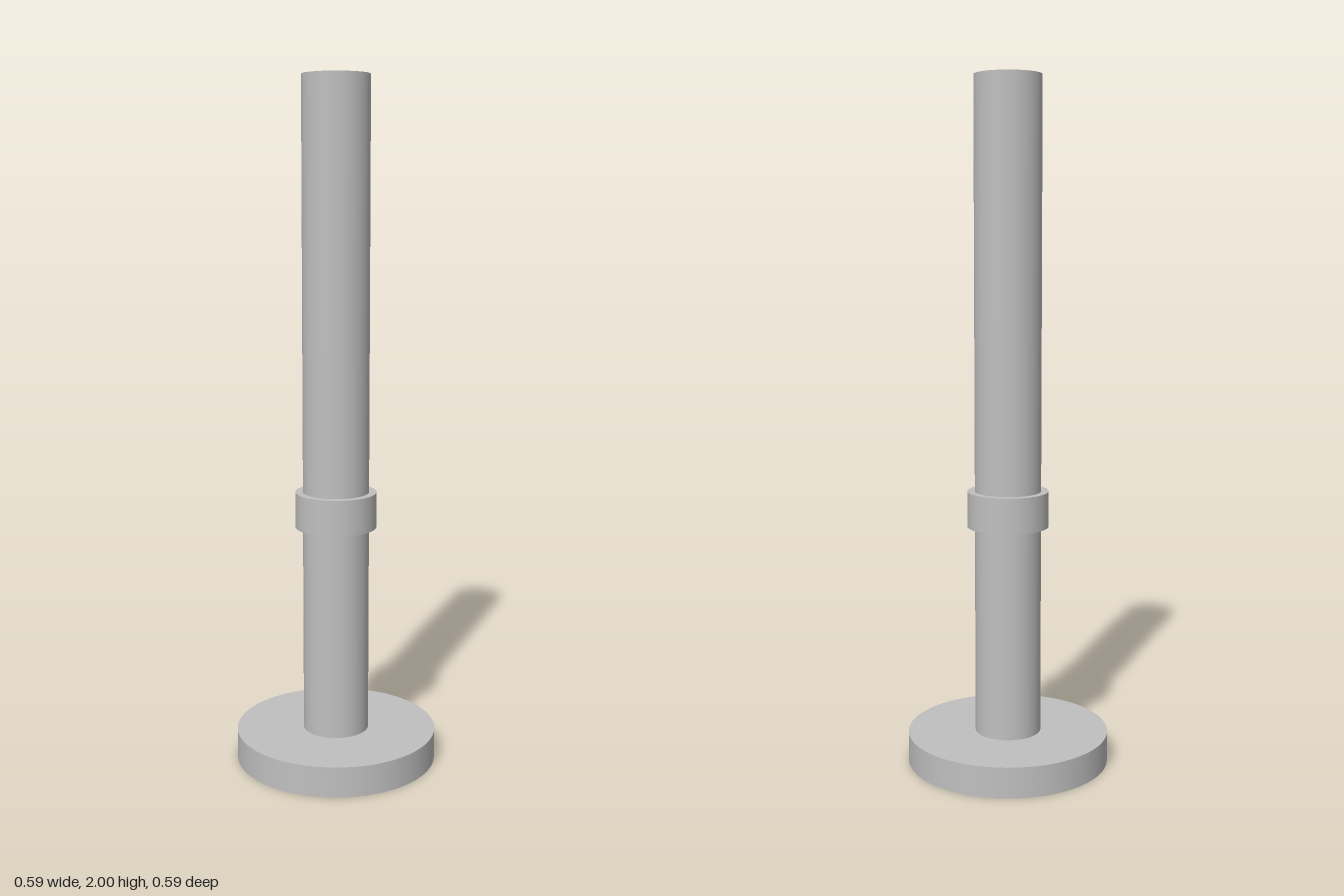
import * as THREE from 'three';
import { toCreasedNormals } from 'three/addons/utils/BufferGeometryUtils.js';

const SEGMENTS = 96;
const HEAD_RADIUS = 0.297, HEAD_HEIGHT = 0.09;
const SLOT_LENGTH = 0.46, SLOT_WIDTH = 0.095, SLOT_DEPTH = 0.045;

export function createModel() {
  const model = new THREE.Group();
  model.name = 'slottedPin';
  const metal = new THREE.MeshStandardMaterial({ color: 0xc0c0c0 });
  metal.name = 'light grey metal';

  function add(name, geometry) {
    const mesh = new THREE.Mesh(geometry, metal);
    mesh.name = name;
    model.add(mesh);
  }

  // Upright cylinder between two heights
  function cylinder(name, radius, bottom, top) {
    const geometry = new THREE.CylinderGeometry(radius, radius, top - bottom, SEGMENTS);
    geometry.translate(0, (bottom + top) / 2, 0);
    add(name, geometry);
  }

  // Lower half of the head, pierced by the slot that runs front to back
  const disc = new THREE.Shape();
  disc.absarc(0, 0, HEAD_RADIUS, 0, Math.PI * 2, false);
  const w = SLOT_WIDTH / 2, l = SLOT_LENGTH / 2;
  disc.holes.push(new THREE.Path([
    new THREE.Vector2(-w, -l), new THREE.Vector2(-w, l),
    new THREE.Vector2(w, l), new THREE.Vector2(w, -l),
  ]));
  const slotted = new THREE.ExtrudeGeometry(disc, {
    depth: SLOT_DEPTH, bevelEnabled: false, curveSegments: SEGMENTS,
  });
  slotted.rotateX(-Math.PI / 2);
  add('slottedHead', toCreasedNormals(slotted, 0.6));

  // Upper half of the head closes the slot
  cylinder('headTop', HEAD_RADIUS, SLOT_DEPTH, HEAD_HEIGHT);

  // Shaft with its collar
  cylinder('shaft', 0.097, HEAD_HEIGHT, 2);
  cylinder('collar', 0.119, 0.71, 0.815);

  return model;
}
